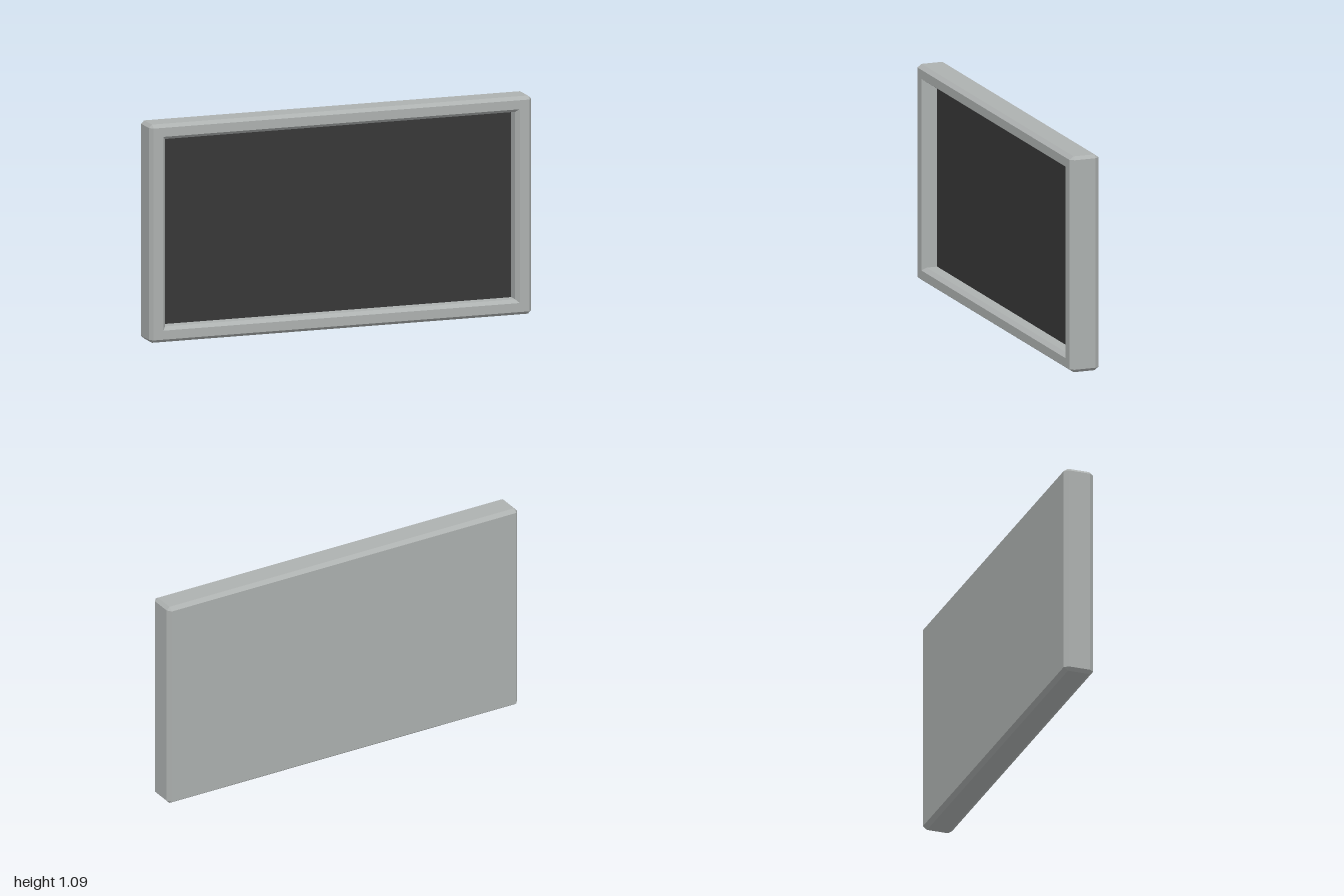
import * as THREE from 'three';

const W = 1, H = 0.545;      // half width and half height
const Z = 0.077;             // half depth
const C = 0.016, CZ = 0.022; // chamfer across the face and along the depth
const RIM_X = 0.067, RIM_Y = 0.061; // rim width at the sides and at top and bottom
const PANEL_Z = 0;

// Eight-point rectangle at depth z; clip cuts the corners (0 keeps them square)
function ring(w, h, z, clip = 0) {
  return [
    [w, -h + clip], [w, h - clip], [w - clip, h], [-w + clip, h],
    [-w, h - clip], [-w, -h + clip], [-w + clip, -h], [w - clip, -h],
  ].map(([x, y]) => new THREE.Vector3(x, y, z));
}

// Flat-shaded skin through successive rings, skipping collapsed triangles
function skin(rings) {
  const points = [];
  const tri = (a, b, c) => {
    if (a.equals(b) || b.equals(c) || c.equals(a)) return;
    points.push(a, b, c);
  };
  for (let r = 0; r < rings.length - 1; r++) {
    const p = rings[r], q = rings[r + 1];
    for (let i = 0; i < 8; i++) {
      const j = (i + 1) % 8;
      tri(p[i], p[j], q[j]);
      tri(p[i], q[j], q[i]);
    }
  }
  const geometry = new THREE.BufferGeometry().setFromPoints(points);
  geometry.computeVertexNormals();
  return geometry;
}

export function createModel() {
  const model = new THREE.Group();
  model.name = 'framedPanel';
  const grey = new THREE.MeshStandardMaterial({ name: 'frameGrey', color: 0xadb1b0 });
  const dark = new THREE.MeshStandardMaterial({ name: 'panelDark', color: 0x373737 });

  const add = (name, geometry, material, z = 0) => {
    const mesh = new THREE.Mesh(geometry, material);
    mesh.name = name;
    mesh.position.set(0, H, z);
    model.add(mesh);
    return mesh;
  };

  // Chamfered casing, front rim, bevelled lip and recess walls
  const innerW = W - RIM_X - C, innerH = H - RIM_Y - C;
  add('frame', skin([
    ring(W - C, H - C, -Z),
    ring(W, H, -Z + CZ, C),
    ring(W, H, Z - CZ, C),
    ring(W - C, H - C, Z),
    ring(W - RIM_X, H - RIM_Y, Z),
    ring(innerW, innerH, Z - CZ),
    ring(innerW, innerH, PANEL_Z),
  ]), grey);

  // Flat back cover
  const back = add('backCover', new THREE.PlaneGeometry(2 * (W - C), 2 * (H - C)), grey, -Z);
  back.rotation.y = Math.PI;

  // Dark recessed panel
  add('panel', new THREE.PlaneGeometry(2 * innerW, 2 * innerH), dark, PANEL_Z);

  return model;
}
